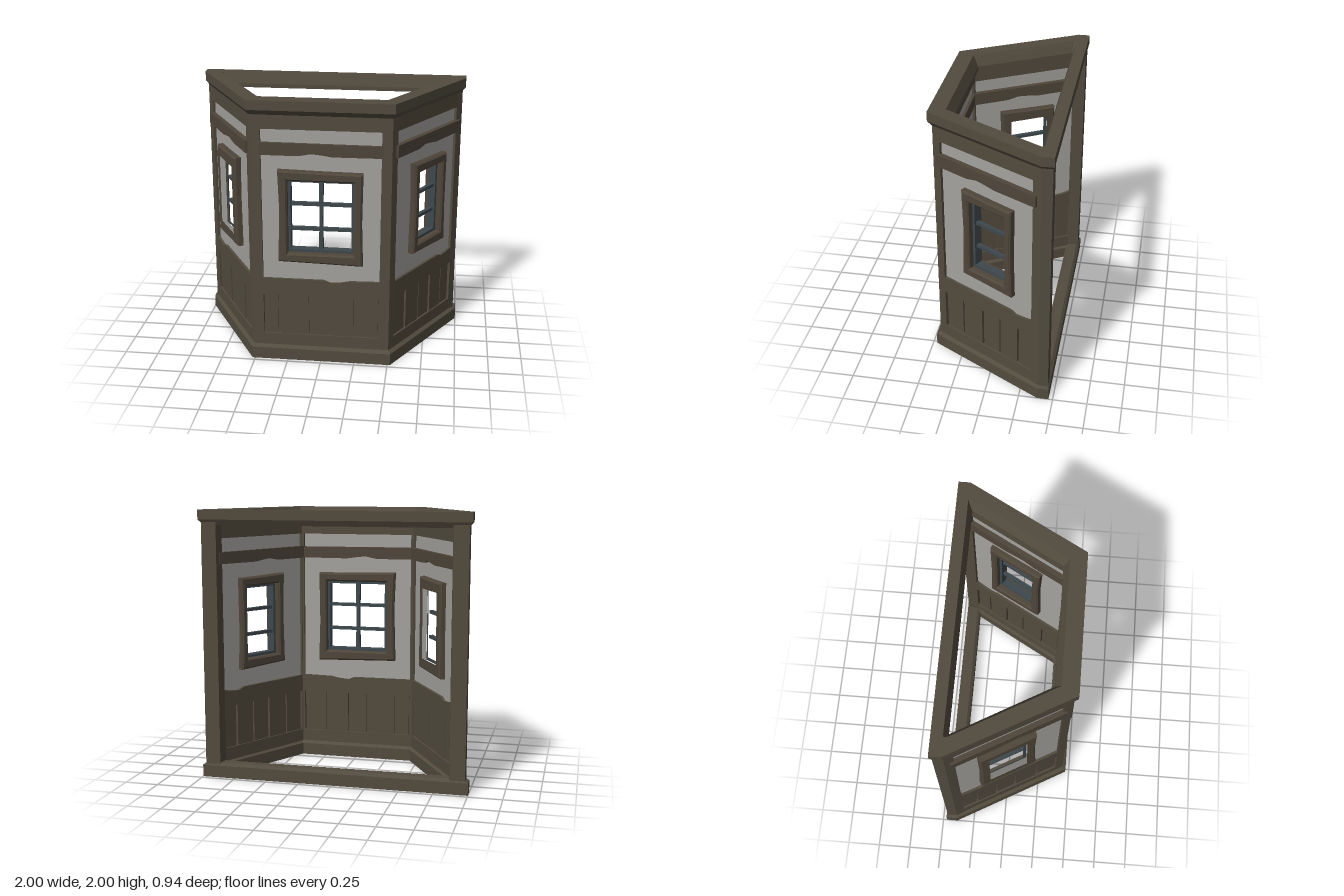
import * as THREE from 'three';

const wood = new THREE.MeshStandardMaterial({ color: 0x524b3e });
wood.name = 'weathered wood';
const frameWood = new THREE.MeshStandardMaterial({ color: 0x4f463a });
frameWood.name = 'frame wood';
const plaster = new THREE.MeshStandardMaterial({ color: 0xa4a29e });
plaster.name = 'plaster';
const sashPaint = new THREE.MeshStandardMaterial({ color: 0x3e484d });
sashPaint.name = 'sash paint';

// side wall placement: centre, direction along the wall, outward normal
const CX = 0.706, CZ = -0.015, ANGLE = Math.atan2(0.85, 0.48);
const C = Math.cos(ANGLE), S = Math.sin(ANGLE);
const onSide = (s, o) => [CX + s * C + o * S, CZ - s * S + o * C];

function add(parent, name, geometry, material) {
  const mesh = new THREE.Mesh(geometry, material);
  mesh.name = name;
  parent.add(mesh);
  return mesh;
}

const toPath = (pts, Type) => new Type(pts.map(([x, y]) => new THREE.Vector2(x, y)));
const rect = (x0, x1, y0, y1) => [[x0, y0], [x1, y0], [x1, y1], [x0, y1]];

// plate standing in the wall plane, from depth z0 to z1, with an optional hole
function plate(pts, z0, z1, hole, bevel = 0) {
  const shape = toPath(pts, THREE.Shape);
  if (hole) shape.holes.push(toPath(hole, THREE.Path));
  const g = new THREE.ExtrudeGeometry(shape, {
    depth: z1 - z0 - 2 * bevel, bevelEnabled: bevel > 0, bevelSegments: 1,
    bevelThickness: bevel, bevelSize: bevel, bevelOffset: -bevel,
  });
  return g.translate(0, 0, z0 + bevel);
}

// upright prism from a plan outline of [x, z] points
function prism(plan, y0, y1) {
  const g = new THREE.ExtrudeGeometry(toPath(plan.map(([x, z]) => [x, -z]), THREE.Shape),
    { depth: y1 - y0, bevelEnabled: false });
  return g.rotateX(-Math.PI / 2).translate(0, y0, 0);
}

// moulding swept round the plan; profile is [t, y], t = 0 outside to 1 inside
function ring(profile) {
  const outer = [[0.52, 0.47], [1, -0.385], [1, -0.47], [-1, -0.47], [-1, -0.385], [-0.52, 0.47]];
  const inner = [[0.44, 0.31], [0.82, -0.355], [0.818, -0.36], [-0.818, -0.36], [-0.82, -0.355], [-0.44, 0.31]];
  const at = (i, k) => {
    const a = outer[i % 6], b = inner[i % 6], [t, y] = profile[k % profile.length];
    return [a[0] + (b[0] - a[0]) * t, y, a[1] + (b[1] - a[1]) * t];
  };
  const v = [];
  for (let i = 0; i < 6; i++) {
    for (let k = 0; k < profile.length; k++) {
      const a = at(i, k), b = at(i + 1, k), c = at(i + 1, k + 1), d = at(i, k + 1);
      v.push(...a, ...b, ...c, ...a, ...c, ...d);
    }
  }
  const g = new THREE.BufferGeometry();
  g.setAttribute('position', new THREE.Float32BufferAttribute(v, 3));
  g.computeVertexNormals();
  return g;
}

// one wall bay in its own frame: x along the wall, z outward; m mirrors x
function wall(name, m, { left, right, grooves, winHalf, winIn, beam, beamOut, notch, upright }) {
  const g = new THREE.Group();
  g.name = name;
  const flip = pts => pts.map(([x, y]) => [x * m, y]);
  const put = (part, mat, pts, z0, z1, hole, bevel) =>
    add(g, part, plate(flip(pts), z0, z1, hole && flip(hole), bevel), mat);

  // horizontal rails
  put('topRail', wood, rect(left, right, 1.79, 1.92), -0.05, 0.05);
  put('bottomRail', wood, rect(left, right, 0.05, 0.2), -0.05, 0.05);
  put('middleRail', wood, [[left, 0.52], [right, 0.52], [right, 0.655], [notch + 0.14, 0.65],
    [notch + 0.08, 0.637], [notch, 0.63], [notch - 0.05, 0.65], [left, 0.65]], -0.05, 0.05);

  // plaster infill with the window opening
  const ih = winIn;
  put('plaster', plaster, rect(left, right, 0.6, 1.8), -0.03, 0.03, rect(-ih - 0.01, ih + 0.01, 0.855, 1.43));

  // wainscot planks over a recessed backing
  put('plankBacking', wood, rect(left, right, 0.19, 0.53), -0.02, 0.02);
  const edges = [left, ...grooves, right];
  for (let i = 0; i + 1 < edges.length; i++) {
    const z = 0.035 + (i % 2) * 0.005;
    put('plank', wood, rect(edges[i] + 0.008, edges[i + 1] - 0.008, 0.2, 0.52), -z, z);
  }

  // chipped cross beam
  const [b0, b1] = beam, mid = (b0 + b1) / 2;
  put('crossBeam', frameWood, [[b0, 1.6], [mid - 0.16, 1.6], [mid - 0.07, 1.618], [mid, 1.612],
    [mid + 0.08, 1.6], [b1, 1.602], [b1, 1.688], [b0, 1.692]], -beamOut, beamOut);

  // crooked window frame
  const w = winHalf;
  put('windowFrame', frameWood, [[-w - 0.004, 0.8], [0, 0.793], [w, 0.785], [w - 0.01, 1.1],
    [w - 0.004, 1.485], [0.03, 1.488], [-w - 0.003, 1.496], [-w + 0.008, 1.2]],
  -0.075, 0.08, rect(-ih, ih, 0.865, 1.42), 0.012);

  // sash and glazing bars
  put('sash', sashPaint, rect(-ih - 0.005, ih + 0.005, 0.86, 1.425), -0.03, 0.03,
    rect(-ih + 0.02, ih - 0.02, 0.885, 1.4));
  for (const y of [1.04, 1.23]) {
    put('glazingBar', sashPaint, [[-ih, y - 0.013], [ih, y - 0.011], [ih, y + 0.012], [-ih, y + 0.012]], -0.015, 0.015);
  }
  if (upright) {
    put('uprightBar', sashPaint, [[-0.018, 0.87], [0.014, 0.87], [0.01, 1.12], [0.015, 1.41], [-0.018, 1.41], [-0.013, 1.15]], -0.02, 0.02);
  }
  return g;
}

export function createModel() {
  const model = new THREE.Group();
  model.name = 'bayWindow';

  // base and cornice rings
  add(model, 'base', ring([[0, 0], [0, 0.09], [0.2, 0.11], [0.8, 0.11], [1, 0.09], [1, 0]]), wood);
  add(model, 'cornice', ring([[0.2, 1.89], [0, 1.93], [0, 2], [0.75, 2], [1, 1.92], [1, 1.89]]), wood);

  // front wall
  const front = wall('frontWall', 1, {
    left: -0.43, right: 0.43, grooves: [-0.315, -0.085, 0.065, 0.25], winHalf: 0.306, winIn: 0.24,
    beam: [-0.44, 0.44], beamOut: 0.053, notch: 0.07, upright: true,
  });
  front.position.z = 0.39;
  model.add(front);

  for (const m of [1, -1]) {
    const side = m > 0 ? 'left' : 'right';

    // angled side wall
    const bay = wall(side + 'Wall', m, {
      left: -0.43, right: 0.385, grooves: [-0.26, -0.07, 0.09, 0.26], winHalf: 0.222, winIn: 0.16,
      beam: [-0.45, 0.42], beamOut: 0.068, notch: 0.24, upright: false,
    });
    bay.position.set(m * CX, 0, CZ);
    bay.rotation.y = m * ANGLE;
    model.add(bay);

    // mitred corner post and back post
    const mirror = plan => plan.map(([x, z]) => [x * m, z]);
    const corner = [[0.43, 0.44], [0.504, 0.44], onSide(-0.43, 0.05), onSide(-0.43, -0.05), [0.446, 0.34], [0.43, 0.34]];
    add(model, side + 'CornerPost', prism(mirror(corner), 0.05, 1.95), wood);
    const back = [onSide(0.385, 0.05), [0.978, -0.385], [0.978, -0.46], [0.865, -0.46], onSide(0.385, -0.05)];
    add(model, side + 'BackPost', prism(mirror(back), 0.05, 1.95), wood);
  }
  return model;
}
